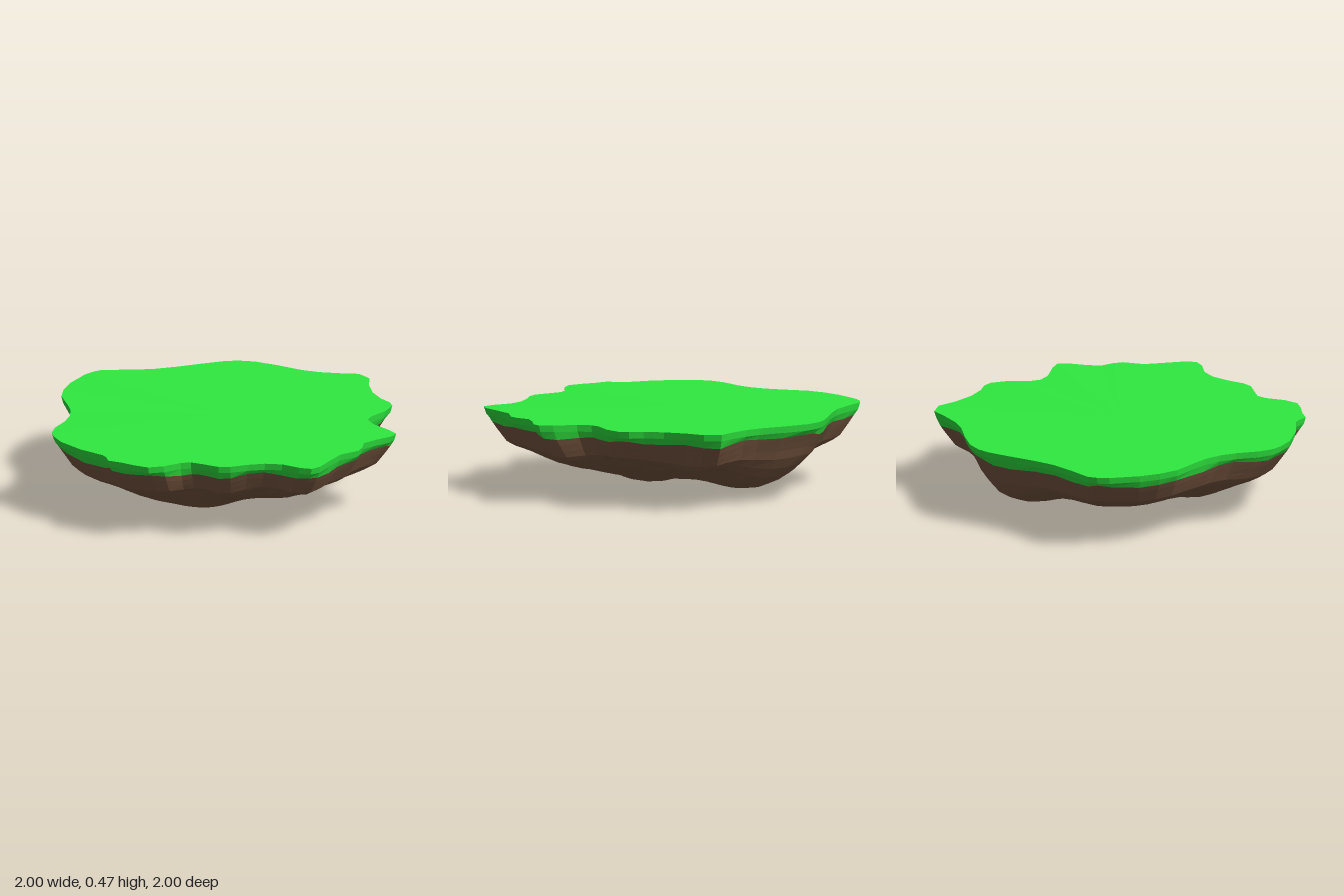
import * as THREE from 'three';

// Rim outline seen from above, as x, z pairs
const RIM = [
  .1, -1, .2, -.98, .33, -.91, .47, -.82, .57, -.78, .7, -.755, .8, -.745, .86, -.66, .855, -.54,
  .875, -.4, .92, -.29, .97, -.22, .985, -.16, .945, -.06, .86, .04, .84, .1, .87, .18, .96, .29,
  1, .36, .97, .41, .88, .47, .81, .53, .8, .61, .775, .67, .67, .74, .62, .83, .55, .96,
  .5, 1, .43, .98, .33, .915, .23, .9, .13, .92, .03, .955, -.04, .955, -.14, .9, -.2, .87,
  -.26, .88, -.36, .94, -.45, .96, -.53, .92, -.6, .87, -.68, .83, -.69, .77, -.71, .73, -.84, .62,
  -.95, .48, -.99, .38, -1, .31, -.98, .22, -.92, .1, -.89, 0, -.885, -.1, -.9, -.2, -.935, -.36,
  -.92, -.48, -.88, -.6, -.79, -.76, -.74, -.81, -.69, -.84, -.55, -.84, -.4, -.85, -.26, -.89,
  -.1, -.95, .02, -.99,
];
const COUNT = RIM.length / 2;
const TOP = 0.47;

// Radial scale and height of the rings, from rim to middle
const EDGE = [[1, TOP], [.99, .43], [.97, .395]];
const UNDERSIDE = [
  EDGE[2], [.95, .36], [.925, .32], [.9, .28], [.86, .25], [.81, .225], [.74, .195], [.66, .165],
  [.58, .143], [.5, .125], [.42, .112], [.34, .102], [.26, .094], [.18, .088], [.1, .084], [0, .082],
];

// Bumps of the underside: x, z, radius, height change
const BUMPS = [
  [-.12, .28, .25, -.087], [-.45, .25, .24, -.045], [.17, -.66, .25, -.105], // low lobes
  [.8, -.5, .14, -.06], [.58, -.36, .2, .065], [.76, -.1, .15, .06], // lip and hollow
  [-.2, .78, .13, .03], [.28, .8, .14, .04], // shelves below the front
  [.5, .06, .2, .03], [.17, -.4, .13, -.02],
];

// Average neighbours so that the rim's notches fade towards the middle
function smoothed(points, reach) {
  return points.map((_, i) => {
    const sum = new THREE.Vector3();
    for (let k = -reach; k <= reach; k++) sum.add(points[(i + k + COUNT) % COUNT]);
    return sum.divideScalar(2 * reach + 1);
  });
}

function loft(rings) {
  const positions = [], index = [];
  rings.forEach(ring => ring.forEach(p => positions.push(p.x, p.y, p.z)));
  for (let r = 0; r < rings.length - 1; r++) {
    for (let i = 0; i < COUNT; i++) {
      const j = (i + 1) % COUNT;
      const a = r * COUNT + i, b = r * COUNT + j, c = b + COUNT, d = a + COUNT;
      index.push(a, b, c, a, c, d);
    }
  }
  const geometry = new THREE.BufferGeometry();
  geometry.setAttribute('position', new THREE.Float32BufferAttribute(positions, 3));
  geometry.setIndex(index);
  geometry.computeVertexNormals();
  return geometry;
}

export function createModel() {
  const rim = Array.from({ length: COUNT }, (_, i) => new THREE.Vector3(RIM[2 * i], 0, RIM[2 * i + 1]));
  const soft = smoothed(rim, 2);

  const ring = ([s, height]) => rim.map((p, i) => {
    const q = p.clone().lerp(soft[i], Math.min(1, (1 - s) * 2.5)).multiplyScalar(s);
    // Bumps and a ragged grass line start just below the top edge
    const fade = THREE.MathUtils.smoothstep(1 - s, 0.03, 0.2);
    let y = height;
    for (const [x, z, radius, rise] of BUMPS) {
      y += fade * rise * Math.exp(-((q.x - x) ** 2 + (q.z - z) ** 2) / (radius * radius));
    }
    if (s < 0.98) {
      const angle = i / COUNT * Math.PI * 2;
      y += (1 - fade) * 0.008 * (Math.sin(angle * 7) + Math.sin(angle * 17 + 1));
      y += fade * 0.006 * Math.sin(q.x * 13 + q.z * 5) * Math.sin(q.z * 11 - q.x * 4);
    }
    q.y = Math.max(0, y);
    return q;
  });

  const grass = new THREE.MeshStandardMaterial({ color: 0x2fe940, flatShading: true });
  const earth = new THREE.MeshStandardMaterial({ color: 0x7d5b44, flatShading: true });

  // Grass surface, very slightly domed
  const surface = [0, .25, .5, .75, 1].map(s => rim.map(p =>
    p.clone().multiplyScalar(s).setY(TOP + 0.005 * (1 - s))));

  const group = new THREE.Group();
  group.name = 'island';
  const add = (name, rings, material) => {
    const mesh = new THREE.Mesh(loft(rings), material);
    mesh.name = name;
    group.add(mesh);
  };
  add('grassTop', surface, grass);
  add('grassEdge', EDGE.map(ring), grass);
  add('earthUnderside', UNDERSIDE.map(ring), earth);
  return group;
}
